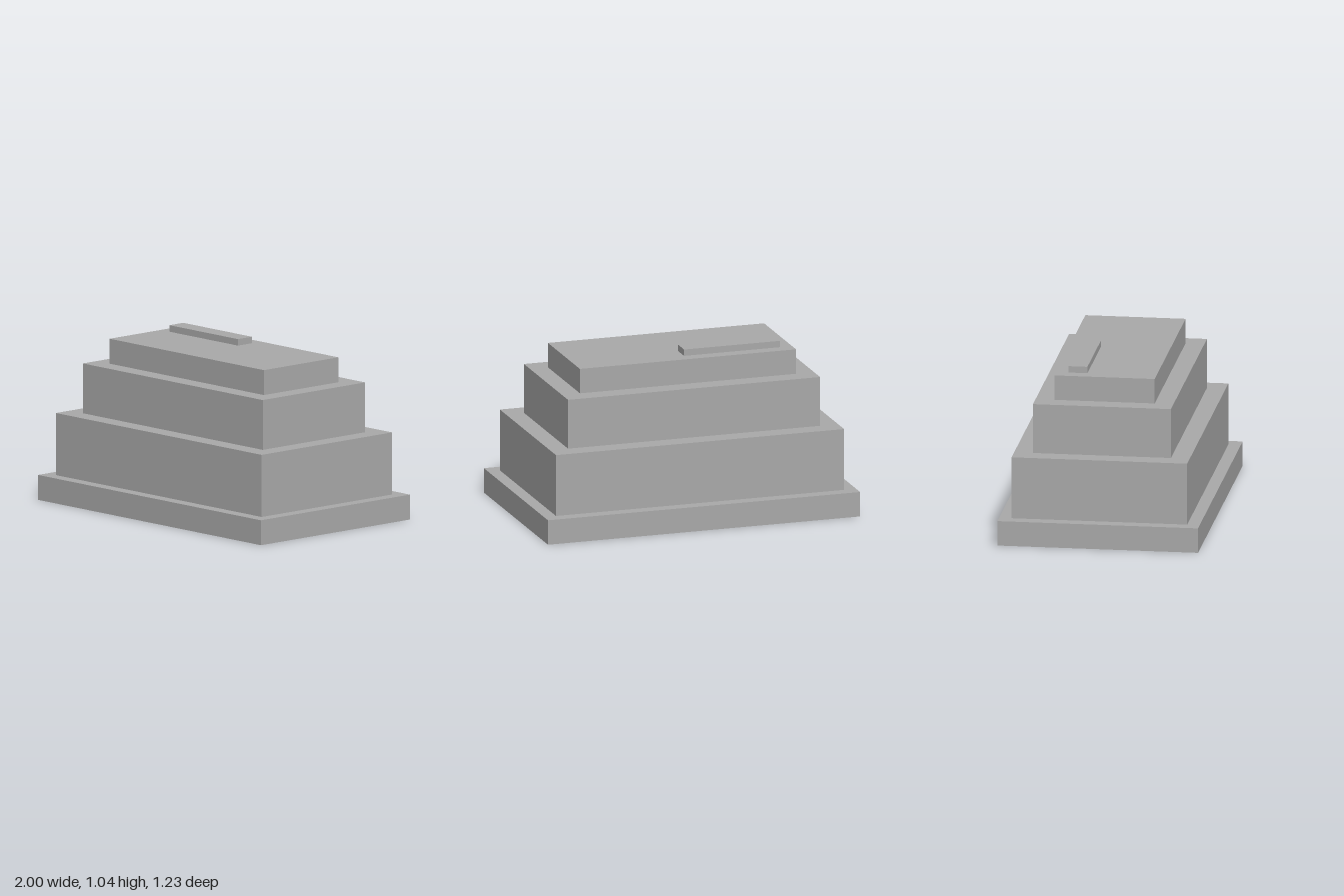
import * as THREE from 'three';

export function createModel() {
  const model = new THREE.Group();
  model.name = 'steppedBlock';
  const grey = new THREE.MeshStandardMaterial({ color: 0xa8a8a8 });
  grey.name = 'plain grey';

  // Box standing on y = bottom, centred on (x, z)
  function addBlock(name, width, depth, bottom, top, x = 0, z = 0) {
    const mesh = new THREE.Mesh(new THREE.BoxGeometry(width, top - bottom, depth), grey);
    mesh.name = name;
    mesh.position.set(x, (bottom + top) / 2, z);
    model.add(mesh);
  }

  // Stacked tiers, each smaller than the one below
  addBlock('basePlinth', 2, 1.231, 0, 0.154);
  addBlock('lowerTier', 1.846, 1.077, 0.154, 0.538);
  addBlock('middleTier', 1.615, 0.846, 0.538, 0.846);
  addBlock('upperTier', 1.385, 0.615, 0.846, 1);

  // Small off-centre bar on the roof
  addBlock('roofBar', 0.615, 0.115, 1, 1.04, -0.308, -0.173);

  return model;
}
